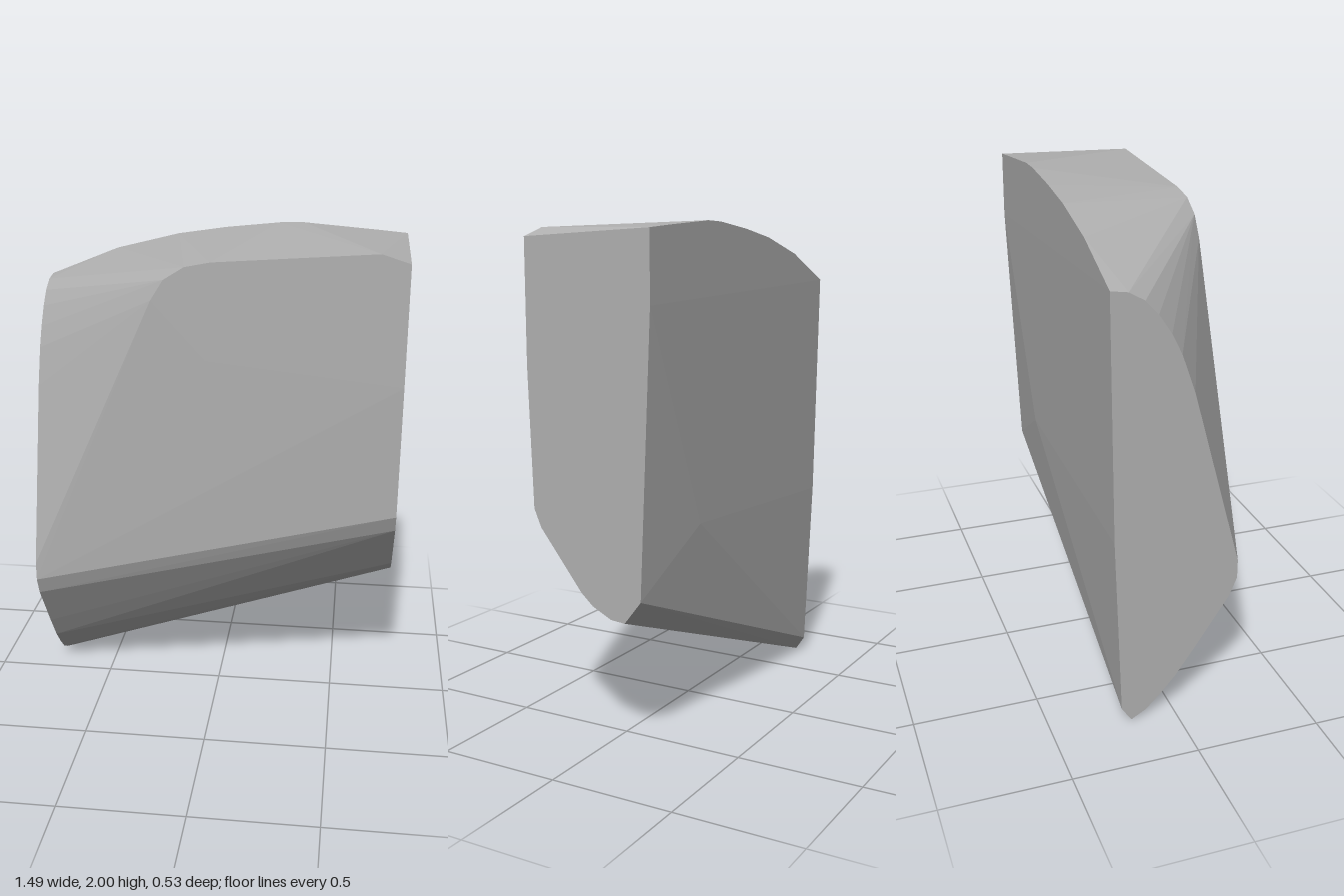
import * as THREE from 'three';
import { ConvexGeometry } from 'three/addons/geometries/ConvexGeometry.js';

export function createModel() {
  const stone = new THREE.MeshStandardMaterial({ color: 0xb0b0b0 });
  stone.name = 'stone grey';

  const points = [];
  const section = (x, pairs) => pairs.forEach(([z, y]) => points.push(new THREE.Vector3(x, y, z)));
  const edge = (z, pairs) => pairs.forEach(([x, y]) => points.push(new THREE.Vector3(x, y, z)));

  // Right end: tall, with a rounded lower edge
  section(0.74, [
    [0.268, 1.94], [0.268, 1.47], [0.25, 0.93], [0.22, 0.86], [0.04, 0.63], [-0.01, 0.585],
    [-0.09, 0.545], [-0.15, 0.54], [-0.22, 0.63], [-0.267, 1.7], [-0.267, 1.965],
  ]);
  // Left end: reaches lower, with its upper front cut away
  section(-0.745, [
    [-0.267, 1.765], [-0.2, 1.755], [-0.14, 1.72], [-0.09, 1.665], [-0.04, 1.59], [0, 1.51],
    [0.053, 1.36], [0.25, 0.64], [0.25, 0.565], [0.22, 0.49], [0.08, 0.28], [0, 0.165],
    [-0.06, 0.095], [-0.12, 0.035], [-0.18, 0], [-0.22, 0.06], [-0.25, 0.8],
  ]);
  // Curved top edge along the back
  edge(-0.267, [[-0.46, 1.88], [-0.2, 1.945], [0, 1.975], [0.22, 1.998], [0.32, 2], [0.63, 1.975]]);
  // Top edge along the front, rounding down into the cut
  edge(0.268, [[-0.23, 1.78], [-0.18, 1.86], [-0.1, 1.91], [0, 1.93], [0.63, 1.975], [-0.02, 1.55]]);
  // Slight bulge low on the back
  edge(-0.252, [[0.35, 0.85]]);

  const block = new THREE.Mesh(new ConvexGeometry(points), stone);
  block.name = 'stoneBlock';
  const group = new THREE.Group();
  group.name = 'cutStone';
  group.add(block);
  return group;
}
